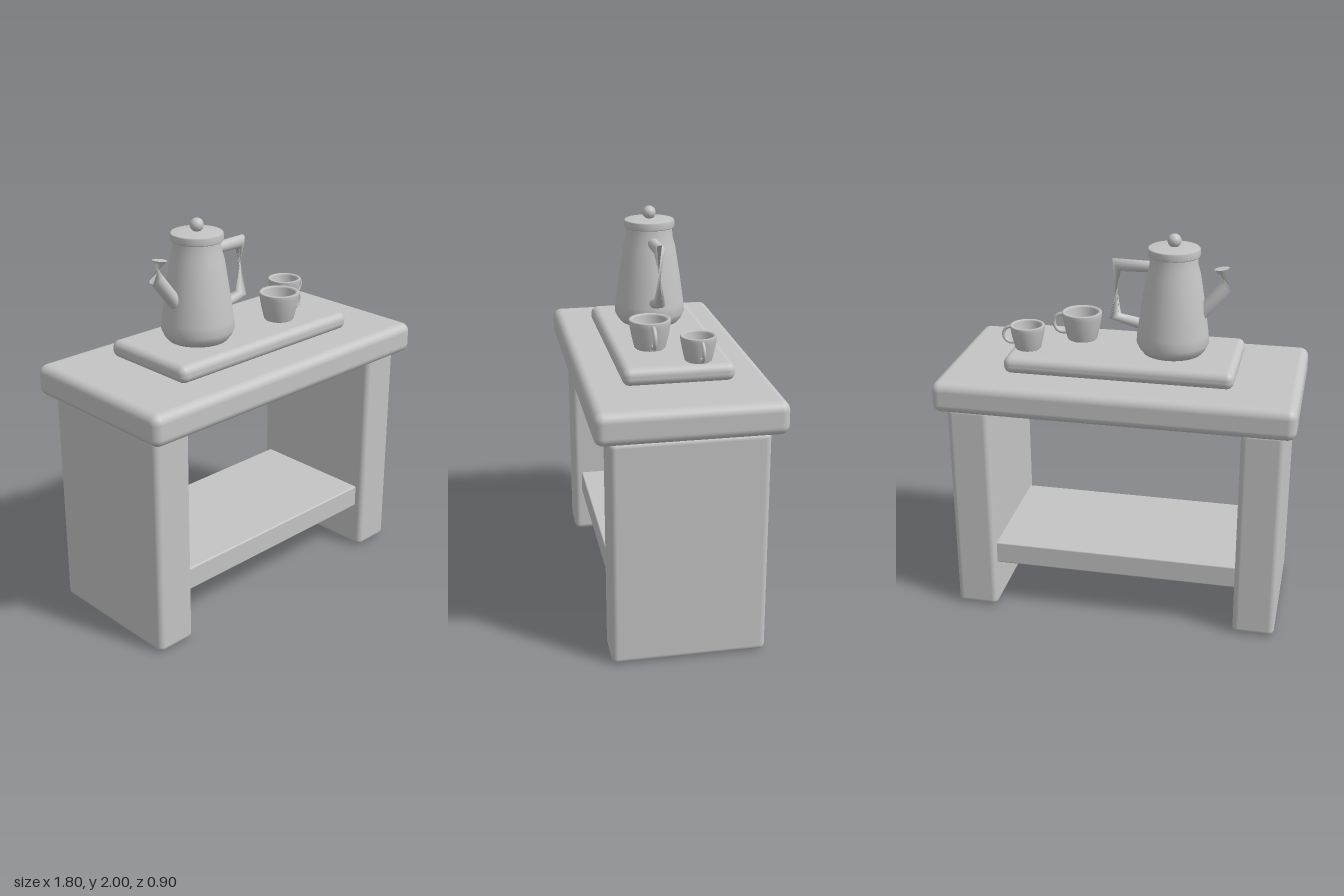
import * as THREE from 'three';
import { RoundedBoxGeometry } from 'three/addons/geometries/RoundedBoxGeometry.js';

// Tube through rings; each ring is [px, py, qx, qy, halfDepth], the two edge
// points of the ring in the x-y plane. A negative depth gives a half twist.
function ringTube(rings, sides = 20) {
  const pos = [], index = [];
  for (const [px, py, qx, qy, d] of rings) {
    for (let j = 0; j < sides; j++) {
      const a = (j / sides) * Math.PI * 2, c = Math.cos(a) / 2;
      pos.push((px + qx) / 2 + (px - qx) * c, (py + qy) / 2 + (py - qy) * c, Math.sin(a) * d);
    }
  }
  for (let i = 0; i < rings.length - 1; i++) {
    for (let j = 0; j < sides; j++) {
      const k = (j + 1) % sides, a = i * sides, b = a + sides;
      index.push(a + j, a + k, b + j, a + k, b + k, b + j);
    }
  }
  // end cap on its own vertices, so its rim stays sharp
  const start = pos.length / 3, last = (rings.length - 1) * sides * 3;
  pos.push(...pos.slice(last, last + sides * 3));
  for (let j = 1; j < sides - 1; j++) index.push(start, start + j, start + j + 1);
  const g = new THREE.BufferGeometry();
  g.setAttribute('position', new THREE.Float32BufferAttribute(pos, 3));
  g.setIndex(index);
  g.computeVertexNormals();
  return g;
}

const lathe = (points, segments = 32) =>
  new THREE.LatheGeometry(points.map(([r, y]) => new THREE.Vector2(r, y)), segments);

export function createModel() {
  const model = new THREE.Group();
  model.name = 'coffeeTable';
  const grey = new THREE.MeshStandardMaterial({ color: 0xc4c4c4, side: THREE.DoubleSide });
  grey.name = 'plain grey';

  const add = (parent, name, geometry, x = 0, y = 0, z = 0) => {
    const mesh = new THREE.Mesh(geometry, grey);
    mesh.name = name;
    mesh.position.set(x, y, z);
    parent.add(mesh);
    return mesh;
  };
  const slab = (name, w, h, d, r, x, y) =>
    add(model, name, new RoundedBoxGeometry(w, h, d, 4, r), x, y, 0);

  // Table
  slab('tableTop', 1.8, 0.16, 0.9, 0.045, 0, 1.225);
  slab('leftLeg', 0.215, 1.145, 0.755, 0.03, 0.74, 0.5755);
  slab('rightLeg', 0.215, 1.145, 0.755, 0.03, -0.74, 0.5755);
  slab('shelf', 1.3, 0.12, 0.67, 0.008, 0, 0.31);
  slab('tray', 1.155, 0.088, 0.54, 0.038, 0, 1.353);

  // Coffee pot
  const pot = new THREE.Group();
  pot.name = 'coffeePot';
  pot.position.x = -0.237;
  model.add(pot);
  add(pot, 'potBody', lathe([
    [0, 1.395], [0.148, 1.395], [0.168, 1.42], [0.182, 1.45], [0.178, 1.5],
    [0.157, 1.65], [0.133, 1.8], [0.12, 1.845], [0.117, 1.895],
  ]));
  add(pot, 'lid', lathe([
    [0.115, 1.892], [0.126, 1.892], [0.129, 1.897], [0.129, 1.927], [0.125, 1.932], [0.06, 1.937], [0, 1.938],
  ]));
  add(pot, 'lidKnob', new THREE.SphereGeometry(0.034, 20, 14), 0, 1.966, 0);

  // Spout and handle, each with one twisted, pinched stretch
  add(pot, 'spout', ringTube([
    [-0.115, 1.627, -0.147, 1.558, 0.038],
    [-0.234, 1.775, -0.289, 1.733, 0.036],
    [-0.273, 1.844, -0.199, 1.833, -0.036],
  ]));
  add(pot, 'potHandle', ringTube([
    [0.1, 1.855, 0.1, 1.8, 0.028],
    [0.308, 1.86, 0.266, 1.797, 0.028],
    [0.266, 1.574, 0.324, 1.547, -0.03],
    [0.15, 1.555, 0.15, 1.495, -0.03],
  ]));

  // Cups
  const addCup = (name, x, z, scale) => {
    const cup = new THREE.Group();
    cup.name = name;
    cup.position.set(x, 1.396, z);
    cup.scale.setScalar(scale);
    model.add(cup);
    add(cup, 'cupBowl', lathe([
      [0, 0], [0.07, 0], [0.077, 0.006], [0.092, 0.07], [0.101, 0.12], [0.103, 0.143], [0.1, 0.147],
      [0.087, 0.147], [0.084, 0.138], [0.08, 0.09], [0.068, 0.045], [0.042, 0.022], [0, 0.015],
    ]));
    const start = -2.0;
    const handle = add(cup, 'cupHandle',
      new THREE.TorusGeometry(0.05, 0.01, 10, 24, Math.PI / 2 + 0.1 - start), 0.1, 0.078, 0);
    handle.rotation.z = start;
  };
  addCup('largeCup', 0.25, 0.085, 1);
  addCup('smallCup', 0.487, -0.105, 0.85);

  return model;
}
